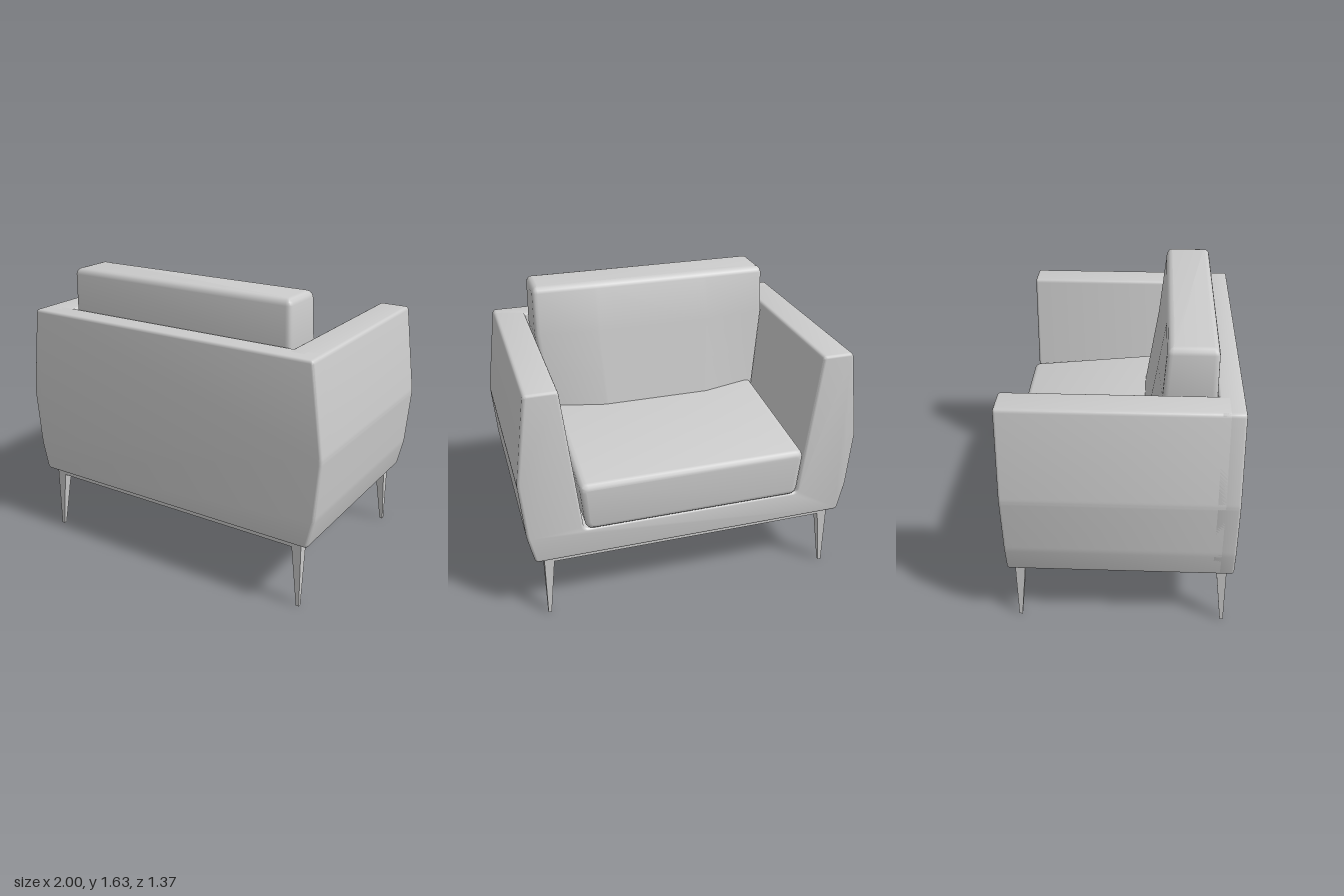
import * as THREE from 'three';
import { toCreasedNormals } from 'three/addons/utils/BufferGeometryUtils.js';

const material = new THREE.MeshStandardMaterial({ color: 0xcccccc });

// Closed outline whose corners are softened by the distance r
function softShape(points, r) {
  const p = points.map(([x, y]) => new THREE.Vector2(x, y));
  const toward = (a, b) => a.clone().add(b.clone().sub(a).setLength(r));
  const shape = new THREE.Shape();
  p.forEach((c, i) => {
    const a = toward(c, p[(i + p.length - 1) % p.length]);
    const b = toward(c, p[(i + 1) % p.length]);
    if (i === 0) shape.moveTo(a.x, a.y);
    else shape.lineTo(a.x, a.y);
    shape.quadraticCurveTo(c.x, c.y, b.x, b.y);
  });
  shape.closePath();
  return shape;
}

// Bevelled extrusion that fills exactly z0..z1 and keeps the outline size
function extrude(shape, z0, z1, bevel, steps = 1) {
  return new THREE.ExtrudeGeometry(shape, {
    depth: z1 - z0 - 2 * bevel, steps, curveSegments: 4,
    bevelEnabled: bevel > 0, bevelSize: bevel, bevelThickness: bevel,
    bevelOffset: -bevel, bevelSegments: 3,
  }).translate(0, 0, z0 + bevel);
}

// Move every vertex by a rule
function deform(geometry, rule) {
  const pos = geometry.attributes.position;
  const v = new THREE.Vector3();
  for (let i = 0; i < pos.count; i++) {
    rule(v.fromBufferAttribute(pos, i));
    pos.setXYZ(i, v.x, v.y, v.z);
  }
  return geometry;
}

function add(parent, name, geometry) {
  const mesh = new THREE.Mesh(toCreasedNormals(geometry, 0.65), material);
  mesh.name = name;
  parent.add(mesh);
  return mesh;
}

const mirror = (half) => [...half, ...half.map(([x, y]) => [-x, y]).reverse()];

export function createModel() {
  const group = new THREE.Group();
  group.name = 'armchair';
  const chair = new THREE.Group();
  chair.name = 'chair';
  chair.rotation.y = 0.0785; // stands slightly turned
  group.add(chair);

  // Shell: bulging outer sides, U-shaped section for arms and base, solid back
  const outer = [[0.893, 0.382], [0.93, 0.55], [0.955, 0.88], [0.888, 1.387]];
  add(chair, 'armsAndBase', extrude(
    softShape(mirror([...outer, [0.712, 1.387], [0.62, 0.55]]), 0.02), -0.612, 0.55, 0.015));
  add(chair, 'backWall', extrude(softShape(mirror(outer), 0.02), 0.48, 0.612, 0.015));

  // Seat cushion, rising gently toward the back
  const seat = extrude(
    softShape(mirror([[0.61, 0.552], [0.638, 0.83]]), 0.045), -0.634, 0.47, 0.03);
  deform(seat, (v) => {
    if (v.y > 0.7) v.y += 0.08 * (v.z + 0.634) / 0.8;
  });
  add(chair, 'seatCushion', seat);

  // Back cushion: extruded upward, front leaning forward and fuller low in the middle
  const plan = mirror([[0.7, -0.482], [0.7, -0.225], [0.31, -0.225]]);
  const back = extrude(softShape(plan, 0.03), 0.6, 1.626, 0.035, 4).rotateX(-Math.PI / 2);
  deform(back, (v) => {
    const drop = (1.626 - v.y) / 0.8;
    if (v.z < 0.35) v.z -= drop * (Math.abs(v.x) < 0.4 ? 0.13 : 0.06);
    v.x *= v.y > 1.39 ? 1 - 0.06 * (v.y - 1.39) : 1 - 0.15 * (1.39 - v.y);
  });
  add(chair, 'backCushion', back);

  // Thin metal rim under the shell
  const W = 0.843, D = 0.577, rimWidth = 0.025;
  const rect = (w, d) => [[-w, -d], [w, -d], [w, d], [-w, d]].map((p) => new THREE.Vector2(...p));
  const rim = new THREE.Shape(rect(W, D));
  rim.holes.push(new THREE.Path(rect(W - rimWidth, D - rimWidth).reverse()));
  add(chair, 'baseFrame', extrude(rim, 0.347, 0.386, 0).rotateX(-Math.PI / 2));

  // Legs taper toward the outer corner of the frame
  const legHeight = 0.36;
  for (const sx of [-1, 1]) {
    for (const sz of [-1, 1]) {
      const leg = deform(new THREE.BoxGeometry(1, 1, 1), (v) => {
        const size = v.y > 0 ? 0.056 : 0.018;
        v.set(sx * (W - size / 2) + v.x * size, (v.y + 0.5) * legHeight,
          sz * (D - size / 2) + v.z * size);
      });
      add(chair, `${sz < 0 ? 'front' : 'back'}Leg`, leg);
    }
  }
  return group;
}
